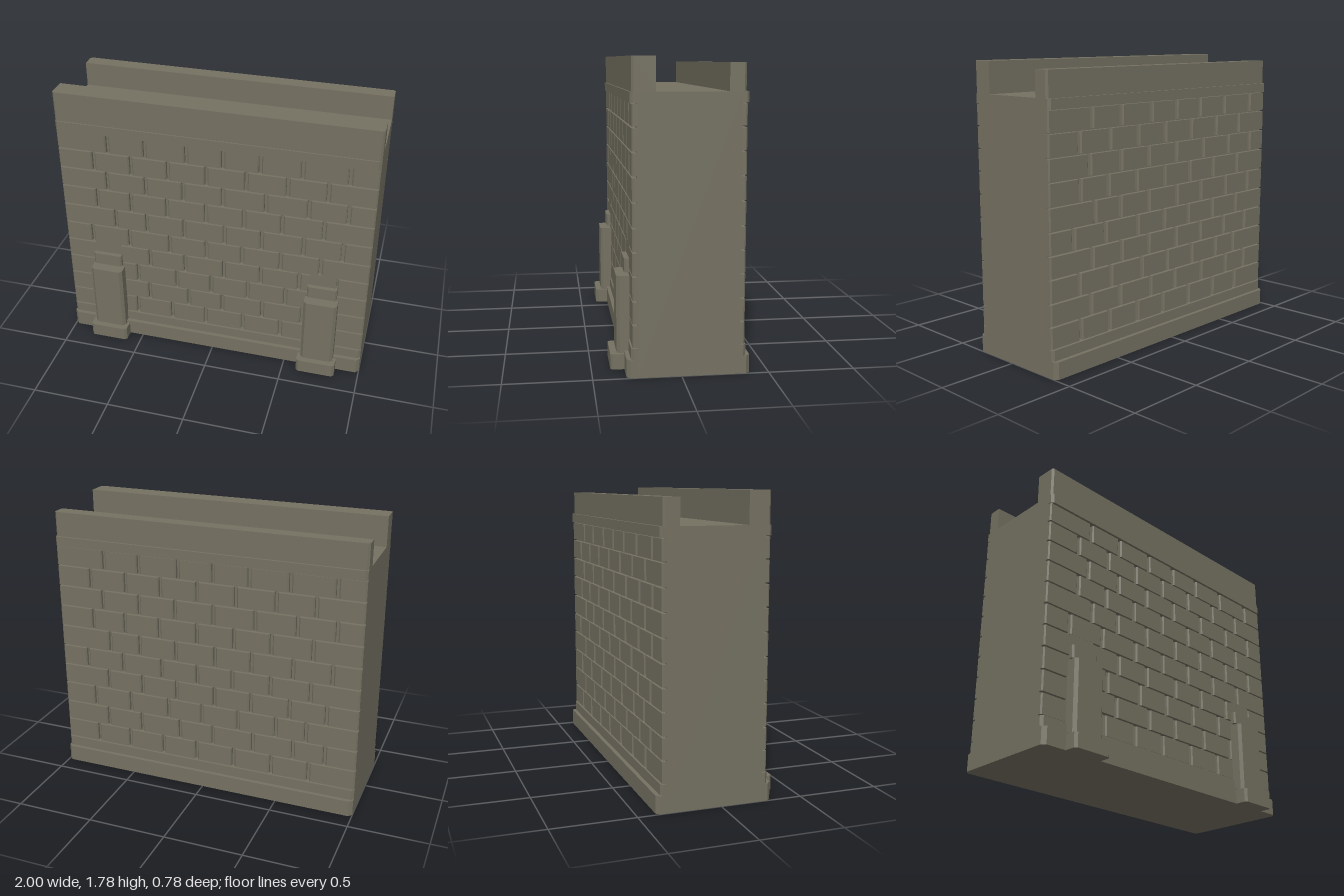
import * as THREE from 'three';

const stone = new THREE.MeshStandardMaterial({ color: 0x757162 });
stone.name = 'grey stone';

// Upright block whose outer (+z) vertical corners are cut off by c
function block(name, x0, x1, y0, y1, z0, z1, c) {
  const plan = new THREE.Shape([
    [x0, z0], [x1, z0], [x1, z1 - c], [x1 - c, z1], [x0 + c, z1], [x0, z1 - c],
  ].map(([x, z]) => new THREE.Vector2(x, -z)));
  const geo = new THREE.ExtrudeGeometry(plan, { depth: y1 - y0, bevelEnabled: false });
  geo.rotateX(-Math.PI / 2).translate(0, y0, 0);
  const mesh = new THREE.Mesh(geo, stone);
  mesh.name = name;
  return mesh;
}

function box(name, x0, x1, y0, y1, z0, z1) {
  const geo = new THREE.BoxGeometry(x1 - x0, y1 - y0, z1 - z0);
  geo.translate((x0 + x1) / 2, (y0 + y1) / 2, (z0 + z1) / 2);
  const mesh = new THREE.Mesh(geo, stone);
  mesh.name = name;
  return mesh;
}

// Height of each course line, and the joints of each course, top to bottom
const levels = [1.53, 1.4, 1.265, 1.13, 0.99, 0.85, 0.715, 0.58, 0.44, 0.305, 0.17];
const joints = [
  [-0.67, -0.43, -0.165, 0.065, 0.295, 0.55, 0.83],
  [-0.77, -0.525, -0.285, -0.04, 0.21, 0.465, 0.71],
  [-0.69, -0.435, -0.19, 0.065, 0.335, 0.6, 0.84],
  [-0.765, -0.54, -0.3, -0.045, 0.2, 0.44, 0.7],
  [-0.65, -0.44, -0.19, 0.075, 0.315, 0.58, 0.825],
  [-0.82, -0.565, -0.29, -0.045, 0.19, 0.44, 0.695],
  [-0.675, -0.43, -0.19, 0.07, 0.315, 0.565, 0.8],
  [-0.78, -0.52, -0.25, -0.015, 0.23, 0.48, 0.675],
  [-0.69, -0.445, -0.17, 0.06, 0.33, 0.595, 0.8],
  [-0.77, -0.535, -0.29, -0.055, 0.2, 0.455, 0.7],
];

const AXIS = -0.04; // z of the wall's middle plane
const HALF = 0.29; // half thickness of the core

// One dressed side of the wall, with z measured from the middle plane
function wallFace(name) {
  const face = new THREE.Group();
  face.name = name;
  joints.forEach((row, i) => {
    const stops = [-1.01, ...row, 1.01];
    for (let k = 0; k < stops.length - 1; k++) {
      face.add(block('brick', stops[k] + 0.01, stops[k + 1] - 0.01,
        levels[i + 1] + 0.005, levels[i] - 0.005, HALF - 0.01, 0.317, 0.008));
    }
  });
  face.add(block('plinth', -1, 1, 0, 0.105, HALF - 0.02, 0.35, 0.022));
  face.add(block('plinthStep', -1, 1, 0.105, 0.17, HALF - 0.02, 0.325, 0.015));
  face.add(block('cornice', -1, 1, 1.53, 1.59, HALF - 0.02, 0.327, 0.015));
  face.position.z = AXIS;
  return face;
}

function buttress(x) {
  const g = new THREE.Group();
  g.name = 'buttress';
  g.add(block('buttressFoot', -0.127, 0.127, 0, 0.09, 0.24, 0.39, 0.015));
  g.add(block('buttressShaft', -0.107, 0.107, 0.09, 0.545, 0.24, 0.352, 0.018));
  g.add(block('buttressCap', -0.095, 0.095, 0.562, 0.642, 0.24, 0.306, 0.01));
  g.add(box('buttressBacking', -0.085, 0.085, 0.642, 0.725, 0.24, 0.2765));
  g.position.x = x;
  return g;
}

export function createModel() {
  const model = new THREE.Group();
  model.name = 'wallSection';
  model.add(box('core', -1, 1, 0, 1.59, AXIS - HALF, AXIS + HALF));

  const front = wallFace('frontFace');
  const back = wallFace('backFace');
  back.rotation.y = Math.PI;
  model.add(front, back);

  // Parapets on both sides of the walkway
  model.add(block('frontParapet', -1, 1, 1.59, 1.78, 0.146, 0.278, 0.012));
  const rear = block('backParapet', -1, 1, 1.59, 1.745, 0.256, 0.35, 0.012);
  rear.rotation.y = Math.PI;
  model.add(rear);

  for (const side of [-1, 1]) model.add(buttress(side * 0.719));
  return model;
}
